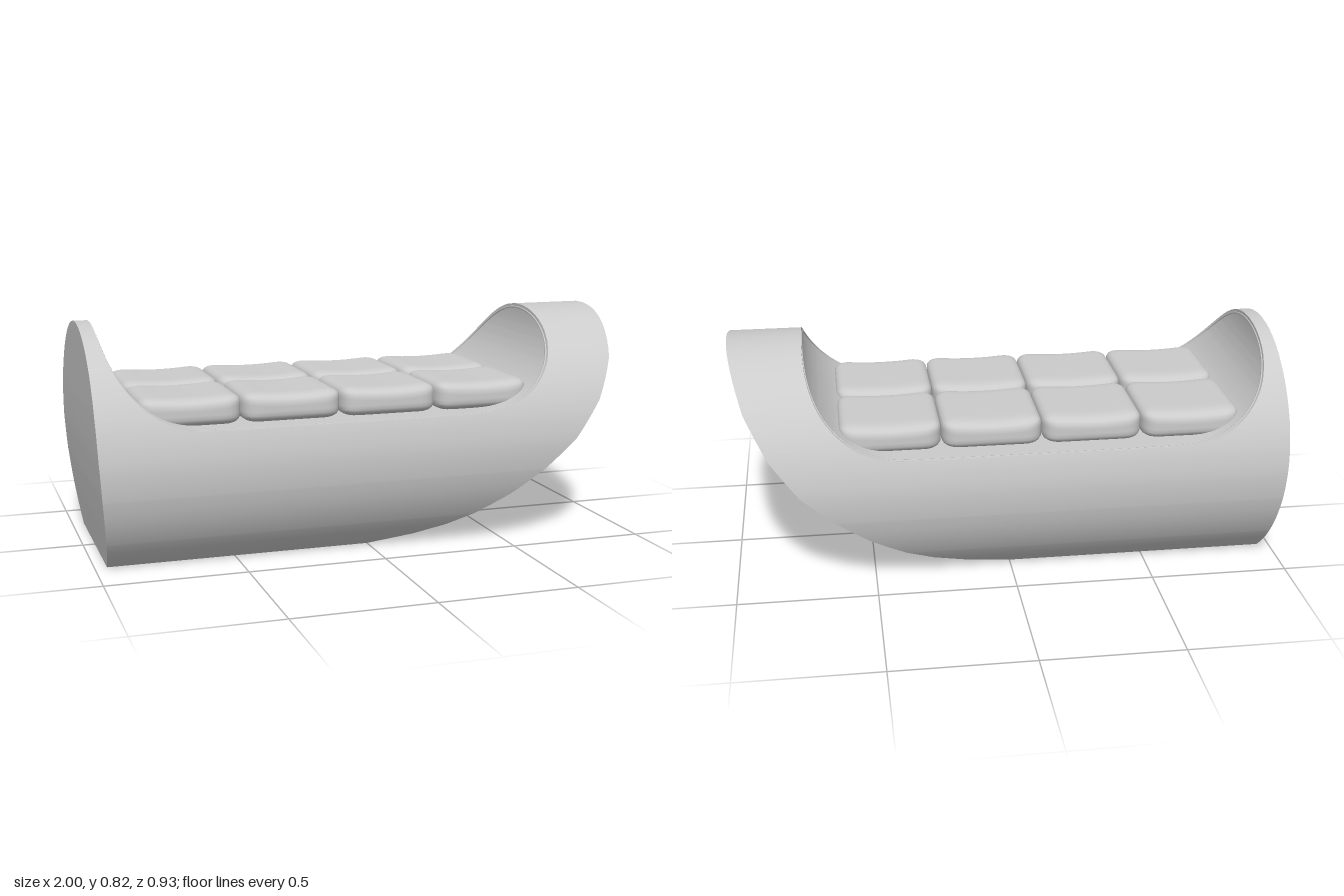
import * as THREE from 'three';
import { mergeGeometries, mergeVertices, toCreasedNormals } from 'three/addons/utils/BufferGeometryUtils.js';

const R = 0.466, CY = 0.36, TOP = 0.825, FLOOR = 0.49;
const WELL_R = 0.34, WELL_Y = FLOOR + WELL_R, WELL_X0 = -0.61, WELL_X1 = 0.39;
const material = new THREE.MeshStandardMaterial({ color: 0xcccccc, side: THREE.DoubleSide });

// Outer end outlines as [x, y], ordered by rising y
const LEFT_END = [[-0.957, 0], [-0.975, 0.15], [-0.988, 0.28], [-0.997, 0.42], [-1, 0.55], [-1, 0.83]];
const RIGHT_END = [[0, 0], [0.17, 0.031], [0.29, 0.065], [0.39, 0.107], [0.52, 0.183], [0.64, 0.272],
  [0.76, 0.38], [0.86, 0.512], [0.94, 0.66], [1, 0.83]];

function xAt(points, y) {
  for (let i = 1; i < points.length; i++) {
    const [xa, ya] = points[i - 1], [xb, yb] = points[i];
    if (y <= yb) return xa + (xb - xa) * (y - ya) / (yb - ya);
  }
  return points[points.length - 1][0];
}

// Half-width of the round section, and reach of the well's curved ends, at a height
const halfWidth = (y, r = R) => Math.sqrt(Math.max(r * r - (y - CY) ** 2, 1e-5));
const wellReach = (y) => Math.sqrt(Math.max(WELL_R ** 2 - (WELL_Y - y) ** 2, 0));

// Heights that follow the section, the ends and the well closely enough
function levels(from, to) {
  const ys = [from, to, ...RIGHT_END.map((p) => p[1])];
  for (let i = 0; i <= 32; i++) ys.push(CY - R * Math.cos(i * Math.PI / 32));
  for (let i = 1; i < 14; i++) ys.push(WELL_Y - WELL_R * Math.cos(i * Math.PI / 28));
  ys.sort((a, b) => a - b);
  const out = [from];
  for (const y of ys) if (y > out[out.length - 1] + 0.002 && y < to - 0.002) out.push(y);
  return [...out, to];
}

// Stack of rectangular layers between two end outlines
function stack(ys, x0, x1, bottomCap) {
  const pos = [], index = [];
  ys.forEach((y, l) => {
    const a = x0(y), b = x1(y), z = halfWidth(y);
    pos.push(a, y, z, b, y, z, b, y, -z, a, y, -z);
    if (l === 0) return;
    for (let i = 0; i < 4; i++) {
      const j = (i + 1) % 4, lo = (l - 1) * 4, hi = l * 4;
      index.push(lo + i, lo + j, hi + j, lo + i, hi + j, hi + i);
    }
  });
  const t = (ys.length - 1) * 4;
  index.push(t, t + 1, t + 2, t, t + 2, t + 3);
  if (bottomCap) index.push(0, 3, 2, 0, 2, 1);
  const g = new THREE.BufferGeometry();
  g.setAttribute('position', new THREE.Float32BufferAttribute(pos, 3));
  g.setIndex(index);
  return g;
}

function bodyGeometry() {
  const left = (y) => xAt(LEFT_END, y), right = (y) => xAt(RIGHT_END, y);
  const horn = levels(FLOOR, TOP);
  return toCreasedNormals(mergeGeometries([
    stack(levels(0, FLOOR), left, right, true),
    stack(horn, left, (y) => WELL_X0 - wellReach(y), false),
    stack(horn, (y) => WELL_X1 + wellReach(y), right, false),
  ]), 0.5);
}

// Thin piping just inside the edge of the well
function pipingGeometry() {
  const r = R - 0.014, top = CY + r, half = [];
  const startAngle = Math.acos((WELL_Y - top) / WELL_R);
  for (let i = 0; i <= 24; i++) {
    const y = WELL_Y - WELL_R * Math.cos(startAngle * (1 - (i / 24) ** 2));
    half.push([WELL_X0 - wellReach(y), y]);
  }
  const path = [...half, ...half.slice().reverse().map(([x, y]) => [WELL_X1 + WELL_X0 - x, y])];
  const front = path.map(([x, y]) => new THREE.Vector3(x, y, y > top - 1e-4 ? 0 : halfWidth(y, r)));
  const back = front.slice(1, -1).reverse().map((p) => new THREE.Vector3(p.x, p.y, -p.z));
  const curve = new THREE.CatmullRomCurve3([...front, ...back], true);
  return new THREE.TubeGeometry(curve, 240, 0.004, 6, true);
}

// Rounded cushion, dipping a little along its length
function cushionGeometry(w, h, d) {
  const g = new THREE.BoxGeometry(w, h, d, 16, 8, 16);
  g.deleteAttribute('uv');
  g.deleteAttribute('normal');
  const half = new THREE.Vector3(w / 2, h / 2, d / 2);
  const round = new THREE.Vector3(0.06, 0.03, 0.06);
  const limit = half.clone().sub(round);
  const p = new THREE.Vector3(), core = new THREE.Vector3();
  const pos = g.attributes.position;
  for (let i = 0; i < pos.count; i++) {
    p.fromBufferAttribute(pos, i);
    core.copy(p).clamp(limit.clone().negate(), limit);
    p.sub(core).divide(round).normalize().multiply(round).add(core);
    if (p.y > 0) p.y -= 0.012 * (1 - (p.x / half.x) ** 2);
    pos.setXYZ(i, p.x, p.y, p.z);
  }
  const merged = mergeVertices(g, 1e-5);
  merged.computeVertexNormals();
  return merged;
}

export function createModel() {
  const model = new THREE.Group();
  model.name = 'loungeBench';
  const add = (geometry, name, parent = model) => {
    const mesh = new THREE.Mesh(geometry, material);
    mesh.name = name;
    parent.add(mesh);
    return mesh;
  };

  add(bodyGeometry(), 'body');
  add(pipingGeometry(), 'wellPiping');

  // Two rows of four cushions
  const cushions = new THREE.Group();
  cushions.name = 'cushions';
  model.add(cushions);
  const cushion = cushionGeometry(0.36, 0.112, 0.363);
  for (let row = 0; row < 2; row++) {
    for (let i = 0; i < 4; i++) {
      add(cushion, `cushion${row * 4 + i + 1}`, cushions)
        .position.set(-0.112 + (i - 1.5) * 0.3625, 0.542, -0.004 + (row - 0.5) * 0.366);
    }
  }
  return model;
}
